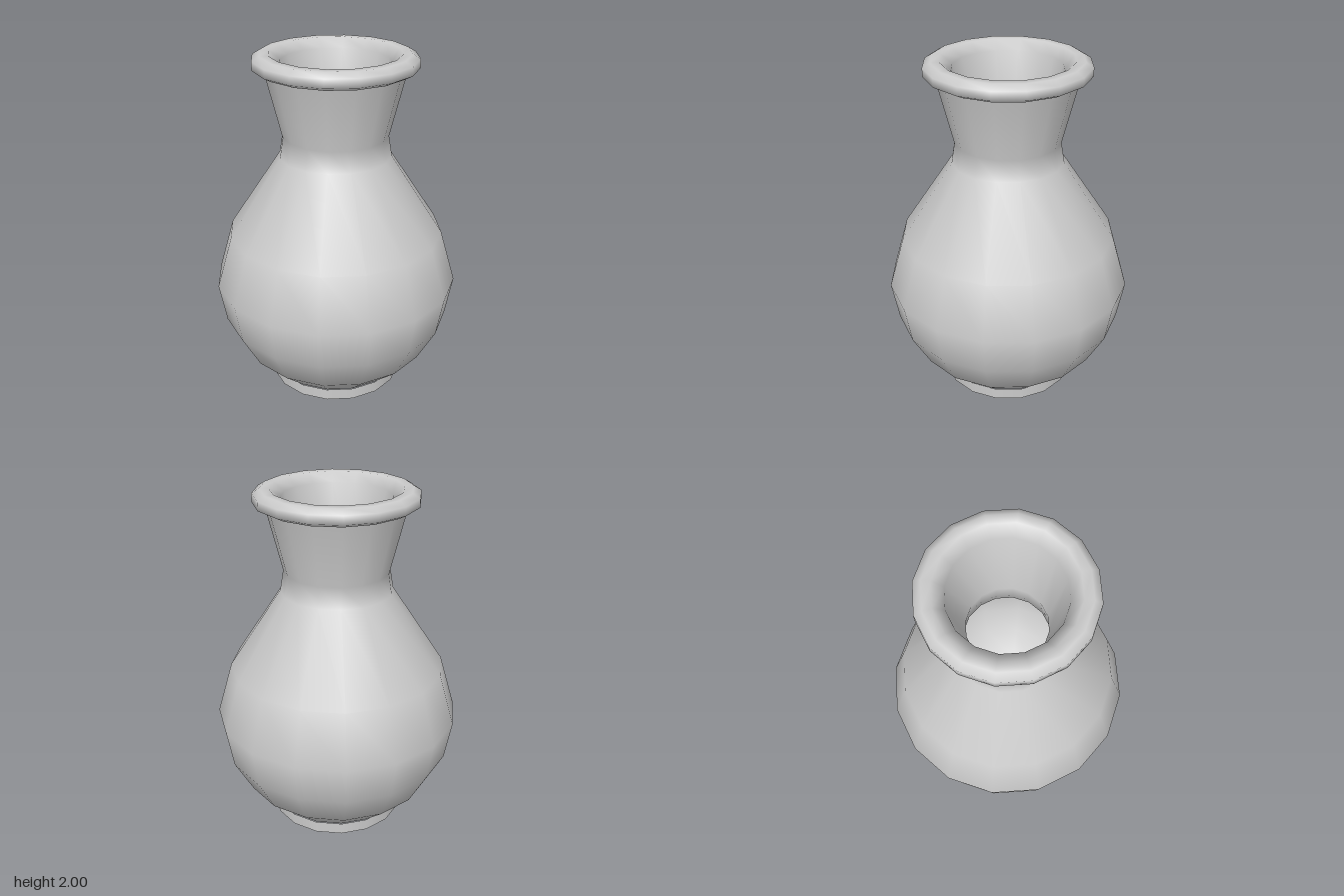
import * as THREE from 'three';

const SIDES = 16;
const material = new THREE.MeshStandardMaterial({ color: 0xcccccc });

// Revolves a [radius, height] profile; outside runs upwards, inside runs downwards
function turned(name, profile) {
  const points = profile.map(([r, y]) => new THREE.Vector2(r, y));
  const mesh = new THREE.Mesh(new THREE.LatheGeometry(points, SIDES), material);
  mesh.name = name;
  return mesh;
}

export function createModel() {
  const vase = new THREE.Group();
  vase.name = 'vase';
  vase.add(
    // Flat underside and short foot ring
    turned('base', [[0, 0], [0.395, 0]]),
    turned('foot', [[0.395, 0], [0.395, 0.07]]),
    // Round belly running smoothly into the flared neck
    turned('body', [
      [0.39, 0.07], [0.56, 0.225], [0.67, 0.43], [0.71, 0.66], [0.62, 0.965],
      [0.32, 1.42], [0.3, 1.54], [0.39, 1.905],
    ]),
    // Rolled lip, then the hollow inside following the outer wall
    turned('rimUnderside', [[0.39, 1.905], [0.415, 1.905]]),
    turned('rimAndInside', [
      [0.415, 1.905], [0.457, 1.927], [0.457, 1.975], [0.415, 2], [0.365, 2], [0.305, 1.95],
      [0.22, 1.56], [0.24, 1.4], [0.55, 0.93], [0.63, 0.66], [0.59, 0.46],
      [0.5, 0.28], [0.35, 0.14],
    ]),
    turned('insideFloor', [[0.35, 0.14], [0, 0.14]]),
  );
  return vase;
}
